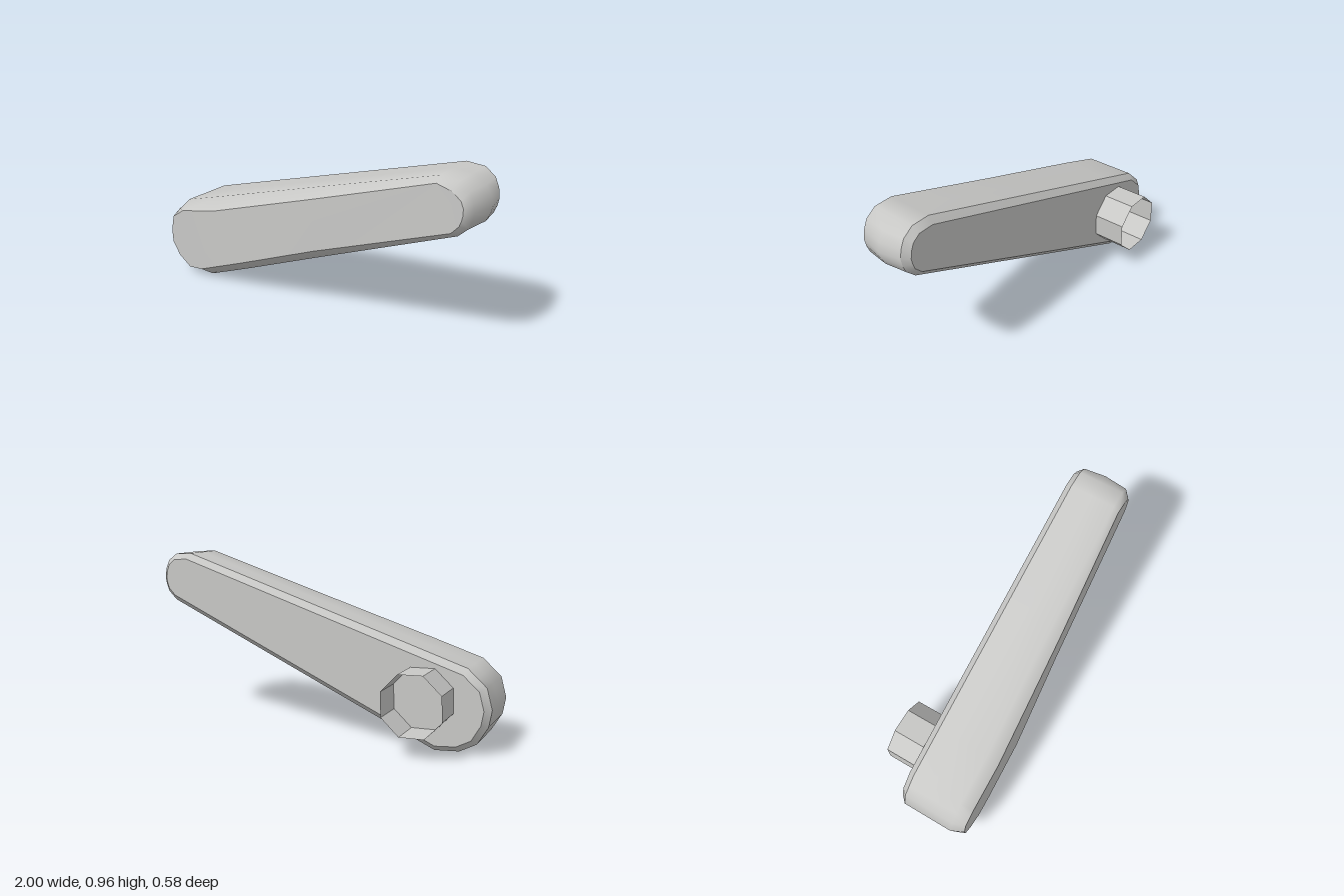
import * as THREE from 'three';

// Lower and upper outline of the lever, each from the wide end to the narrow end
const OUTER_LOW = [[-0.985, 0.16], [-0.93, 0.065], [-0.84, 0.015], [-0.71, 0.003], [-0.4, 0.135],
  [0.1, 0.348], [0.9, 0.69], [0.97, 0.74], [0.99, 0.78], [1, 0.82]];
const OUTER_UP = [[-1, 0.25], [-0.97, 0.36], [-0.92, 0.405], [-0.87, 0.45], [-0.6, 0.534],
  [0.1, 0.751], [0.79, 0.965], [0.89, 0.96], [0.96, 0.92], [0.99, 0.87]];
const FACE_LOW = [[-0.965, 0.17], [-0.915, 0.095], [-0.83, 0.04], [-0.73, 0.055], [-0.4, 0.195],
  [0.1, 0.405], [0.88, 0.71], [0.92, 0.755], [0.93, 0.785], [0.935, 0.81]];
const FACE_UP = [[-0.968, 0.25], [-0.945, 0.345], [-0.9, 0.373], [-0.86, 0.402], [-0.6, 0.465],
  [0.1, 0.7], [0.79, 0.935], [0.87, 0.915], [0.92, 0.88], [0.935, 0.845]];
const ROWS = OUTER_LOW.length;
const N = ROWS * 2;

// Closed counter-clockwise ring; depth is chosen per row along the lever
function ring(low, up, zOfRow) {
  const lower = low.map(([x, y], i) => [x, y, zOfRow(i)]);
  const upper = up.map(([x, y], i) => [x, y, zOfRow(i)]);
  return [...lower, ...upper.reverse()];
}

// Pull the narrow tip in slightly so that it bulges at mid depth
const tuckTip = (pts) => pts.map(([x, y, z]) => [x - 0.25 * Math.max(0, x - 0.9), y, z]);

// Move a ring inward along its corner normals
function inset(pts, d, z) {
  return pts.map(([x, y], i) => {
    const a = pts[(i + N - 1) % N], b = pts[(i + 1) % N];
    const tx = b[0] - a[0], ty = b[1] - a[1], l = Math.hypot(tx, ty);
    return [x - (ty / l) * d, y + (tx / l) * d, z];
  });
}

function geometry(points, index) {
  const g = new THREE.BufferGeometry();
  g.setAttribute('position', new THREE.Float32BufferAttribute(points.flat(), 3));
  g.setIndex(index);
  g.computeVertexNormals();
  return g;
}

// Smooth wall through rings ordered from back to front
function loft(rings) {
  const index = [];
  for (let r = 0; r < rings.length - 1; r++) {
    for (let i = 0; i < N; i++) {
      const j = (i + 1) % N, a = r * N, b = a + N;
      index.push(a + i, a + j, b + j, a + i, b + j, b + i);
    }
  }
  return geometry(rings.flat(), index);
}

// Cap made of strips between the lower and upper outline
function cap(pts, facesFront) {
  const index = [];
  for (let i = 0; i < ROWS - 1; i++) {
    const l0 = i, l1 = i + 1, u0 = N - 1 - i, u1 = N - 2 - i;
    if (facesFront) index.push(l0, l1, u1, l0, u1, u0);
    else index.push(l0, u1, l1, l0, u0, u1);
  }
  return geometry(pts, index);
}

export function createModel() {
  const model = new THREE.Group();
  model.name = 'leverHandle';
  const grey = new THREE.MeshStandardMaterial({ color: 0xc8c8c6, side: THREE.DoubleSide });
  grey.name = 'light grey';
  const facetedGrey = grey.clone();
  facetedGrey.flatShading = true;
  const add = (name, geo, mat = grey) => {
    const mesh = new THREE.Mesh(geo, mat);
    mesh.name = name;
    model.add(mesh);
  };

  // Front thickness tapers towards the narrow end
  const taper = (wide, mid, narrow) => (i) => (i < 5 ? wide : i === 5 ? mid : narrow);
  const rear = tuckTip(ring(OUTER_LOW, OUTER_UP, () => -0.07));
  const middle = ring(OUTER_LOW, OUTER_UP, () => 0.05);
  const rim = tuckTip(ring(OUTER_LOW, OUTER_UP, taper(0.22, 0.195, 0.18)));
  const face = ring(FACE_LOW, FACE_UP, taper(0.29, 0.256, 0.213));
  const back = inset(rear, 0.033, -0.103);

  add('handleSide', loft([rear, middle, rim, face]));
  add('handleFront', cap(face, true));
  add('backBevel', loft([back, rear]));
  add('handleBack', cap(back, false));

  // Open eight-sided socket behind the wide end
  const socket = new THREE.CylinderGeometry(0.172, 0.172, 0.19, 8, 1, true, THREE.MathUtils.degToRad(110));
  socket.rotateX(Math.PI / 2).translate(-0.652, 0.278, -0.195);
  add('socket', socket, facetedGrey);

  return model;
}
